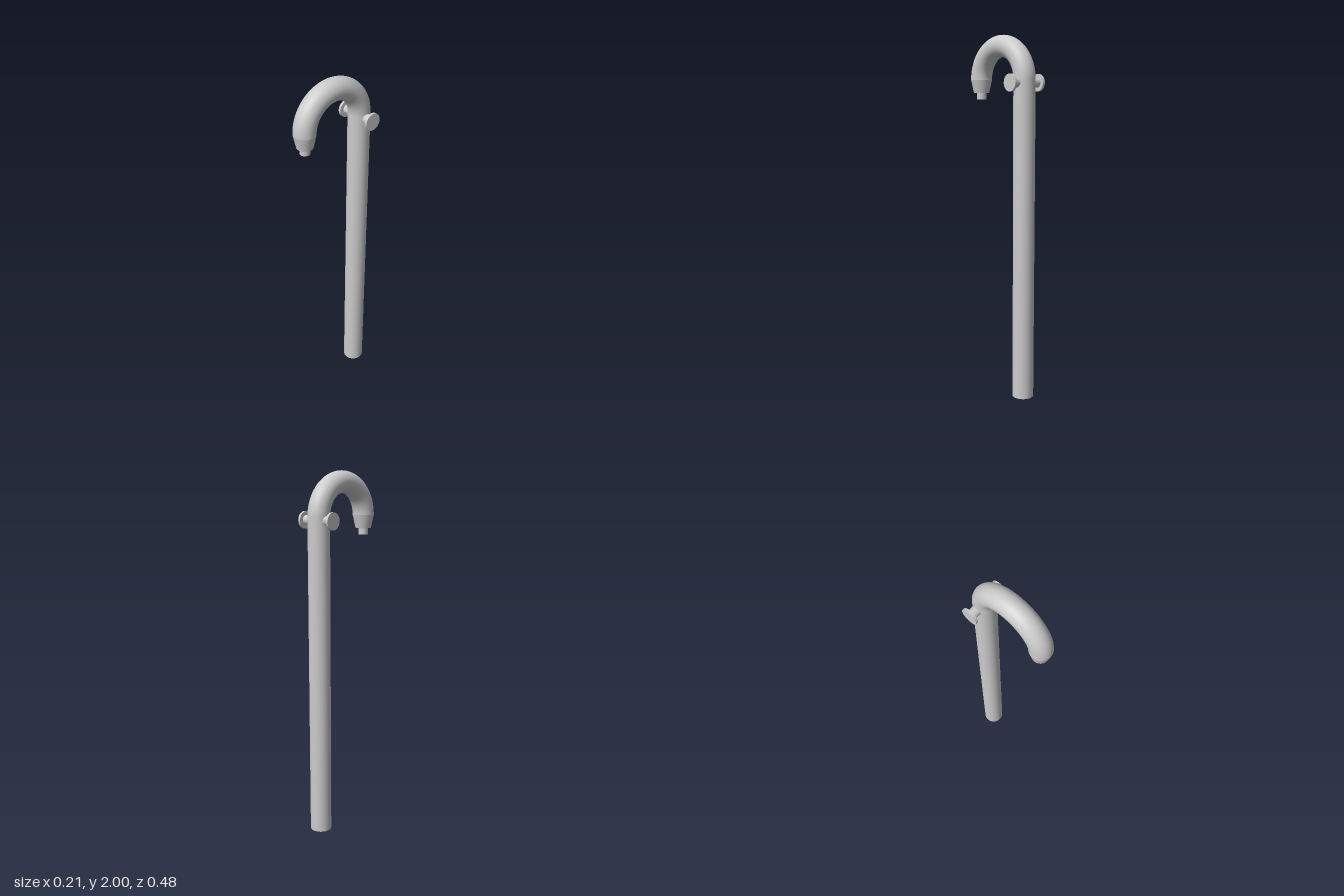
import * as THREE from 'three';

export function createModel() {
  const model = new THREE.Group();
  const material = new THREE.MeshStandardMaterial({ color: 0xcccccc });
  const R = 0.059;      // tube radius
  const BEND = 0.179;   // bend radius, also the z offset of pole and spout
  const BEND_Y = 2 - R - BEND;

  function add(name, geometry, x, y, z, parent = model) {
    const mesh = new THREE.Mesh(geometry, material);
    mesh.name = name;
    mesh.position.set(x, y, z);
    parent.add(mesh);
    return mesh;
  }

  // upright pole, standing at the back
  add('pole', new THREE.CylinderGeometry(R, R, BEND_Y, 32), 0, BEND_Y / 2, -BEND);

  // half-circle bend reaching forward
  add('bend', new THREE.TorusGeometry(BEND, R, 32, 48, Math.PI), 0, BEND_Y, 0).rotation.y = Math.PI / 2;

  // tapered spout and small outlet
  const tipY = 1.69, outletY = 1.655;
  add('spout', new THREE.CylinderGeometry(R, 0.043, BEND_Y - tipY, 32), 0, (BEND_Y + tipY) / 2, BEND);
  add('outlet', new THREE.CylinderGeometry(0.027, 0.027, tipY + 0.02 - outletY, 24), 0, (tipY + 0.02 + outletY) / 2, BEND);

  // a round handle on each side of the pole
  for (const side of [1, -1]) {
    const handle = new THREE.Group();
    handle.name = side > 0 ? 'leftHandle' : 'rightHandle';
    handle.position.set(0, 1.745, -BEND);
    model.add(handle);
    add('handleStem', new THREE.CylinderGeometry(0.026, 0.026, 0.055, 24), side * 0.0675, 0, 0, handle).rotation.z = Math.PI / 2;
    add('handleDisc', new THREE.CylinderGeometry(0.046, 0.046, 0.014, 32), side * 0.098, 0, 0, handle).rotation.z = Math.PI / 2;
  }

  return model;
}
